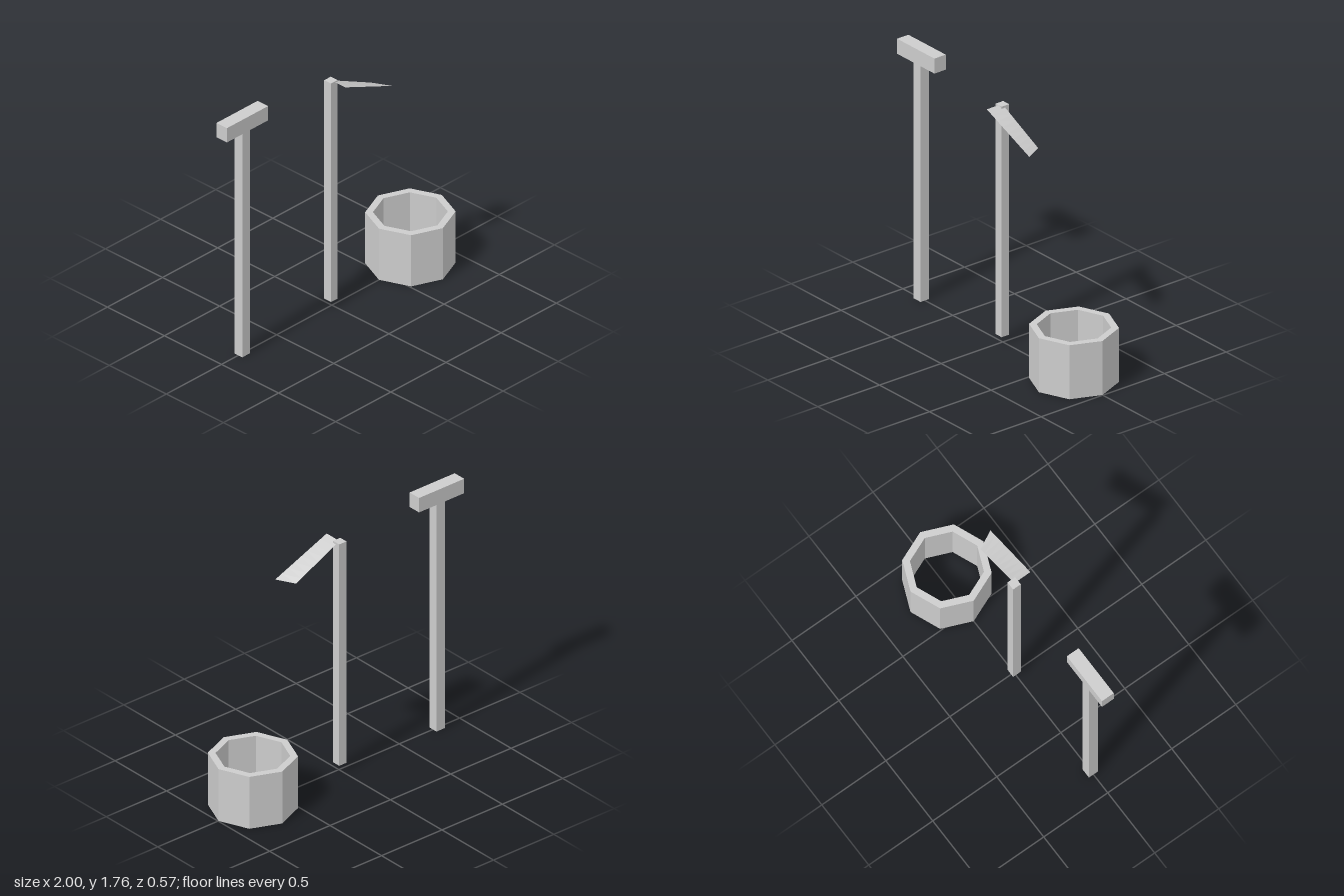
import * as THREE from 'three';

export function createModel() {
  const model = new THREE.Group();
  const grey = new THREE.MeshStandardMaterial({ color: 0xcccccc, flatShading: true, side: THREE.DoubleSide });
  grey.name = 'plain grey';

  const add = (name, geometry, parent = model) => {
    const mesh = new THREE.Mesh(geometry, grey);
    mesh.name = name;
    parent.add(mesh);
    return mesh;
  };
  // Box given by its extents on each axis
  const box = (name, [x0, x1], [y0, y1], [z0, z1], parent) =>
    add(name, new THREE.BoxGeometry(x1 - x0, y1 - y0, z1 - z0), parent)
      .position.set((x0 + x1) / 2, (y0 + y1) / 2, (z0 + z1) / 2);

  // Mallet: square handle under a crosswise head
  const mallet = new THREE.Group();
  mallet.name = 'mallet';
  box('malletHandle', [-0.848, -0.779], [0, 1.655], [-0.035, 0.035], mallet);
  box('malletHead', [-1, -0.626], [1.655, 1.76], [-0.045, 0.047], mallet);

  // Scythe: square shaft with a thin, slightly twisted blade
  const scythe = new THREE.Group();
  scythe.name = 'scythe';
  box('scytheShaft', [-0.036, 0.024], [0.05, 1.66], [-0.032, 0.028], scythe);
  const blade = new THREE.PlaneGeometry(1, 1, 8, 1);
  const p = blade.attributes.position;
  for (let i = 0; i < p.count; i++) {
    const along = p.getX(i) + 0.5;
    const across = 0.5 - p.getY(i);
    p.setXYZ(i, -0.006 + along * (0.361 + 0.065 * across), 1.66 - 0.175 * along, 0.125 * across);
  }
  blade.computeVertexNormals();
  add('scytheBlade', blade, scythe);

  // Tub: open eight-sided ring with a thick wall
  const outer = 0.285, inner = 0.236, height = 0.377;
  const profile = [[outer, 0], [outer, height], [inner, height], [inner, 0], [outer, 0]]
    .map(([r, y]) => new THREE.Vector2(r, y));
  add('tub', new THREE.LatheGeometry(profile, 8)).position.set(0.712, 0, 0);

  model.add(mallet, scythe);
  return model;
}
